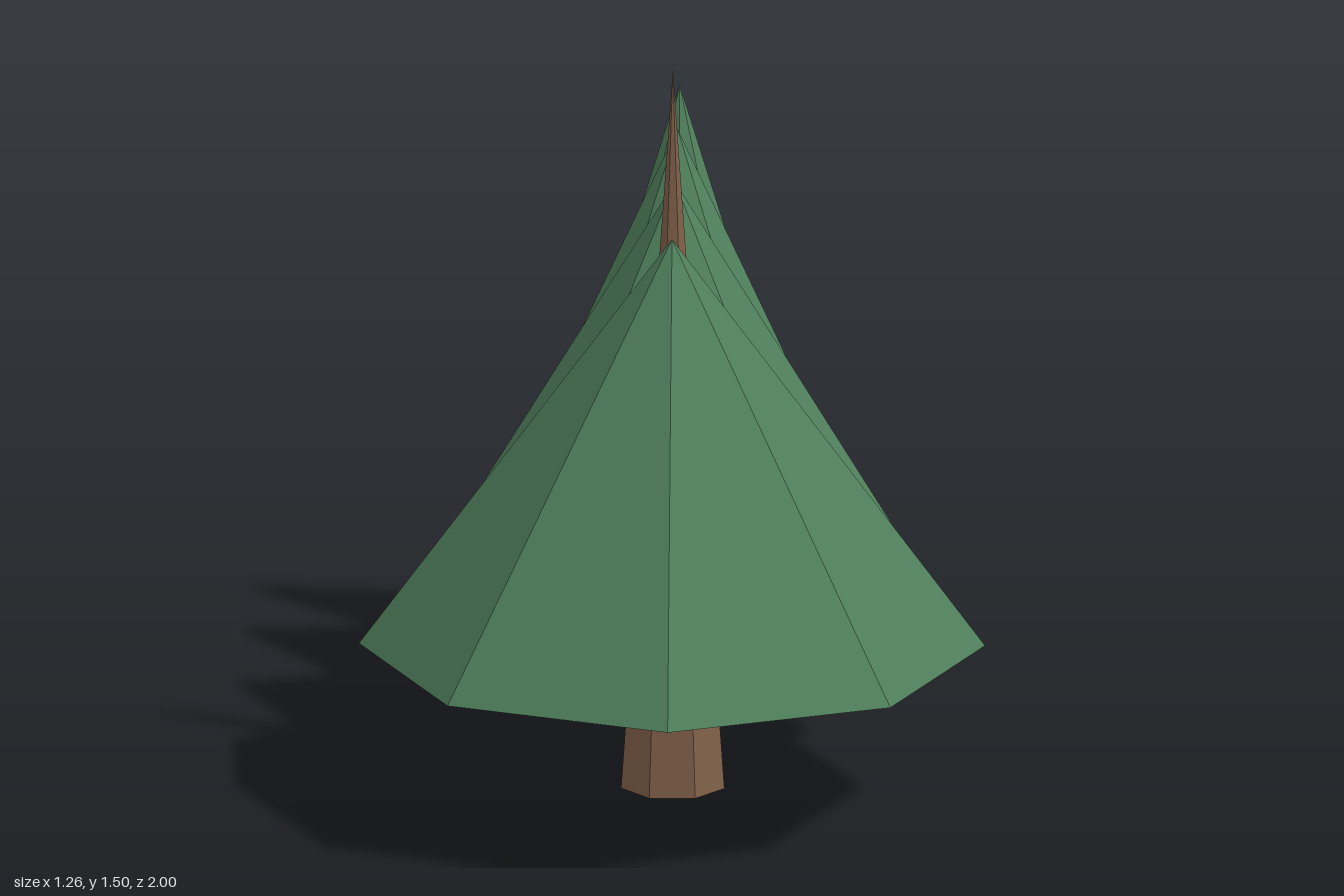
import * as THREE from 'three';

export function createModel() {
  const tree = new THREE.Group();
  tree.name = 'tree';

  const bark = new THREE.MeshStandardMaterial({ color: 0x80604a, flatShading: true });
  bark.name = 'bark brown';
  const needles = new THREE.MeshStandardMaterial({ color: 0x4f7f5c, flatShading: true });
  needles.name = 'needle green';

  // A pointed cone standing at height y, with its axis at depth z
  function addCone(name, material, radius, y, height, z, sides, turn = 0) {
    const geometry = new THREE.ConeGeometry(radius, height, sides, 1, false, turn);
    const mesh = new THREE.Mesh(geometry, material);
    mesh.name = name;
    mesh.position.set(0, y + height / 2, z);
    tree.add(mesh);
  }

  // Seven-sided trunk tapering to a spike, one corner towards the back
  addCone('trunk', bark, 0.107, 0, 1.505, 0.24, 7, Math.PI);

  // Row of foliage cones, shrinking towards the back: [radius, z]
  const foliage = [[0.632, 0.367], [0.52, -0.045], [0.391, -0.425], [0.26, -0.74]];
  foliage.forEach(([radius, z], i) =>
    addCone(`foliage${i + 1}`, needles, radius, 0.333, 0.852, z, 8));

  return tree;
}
